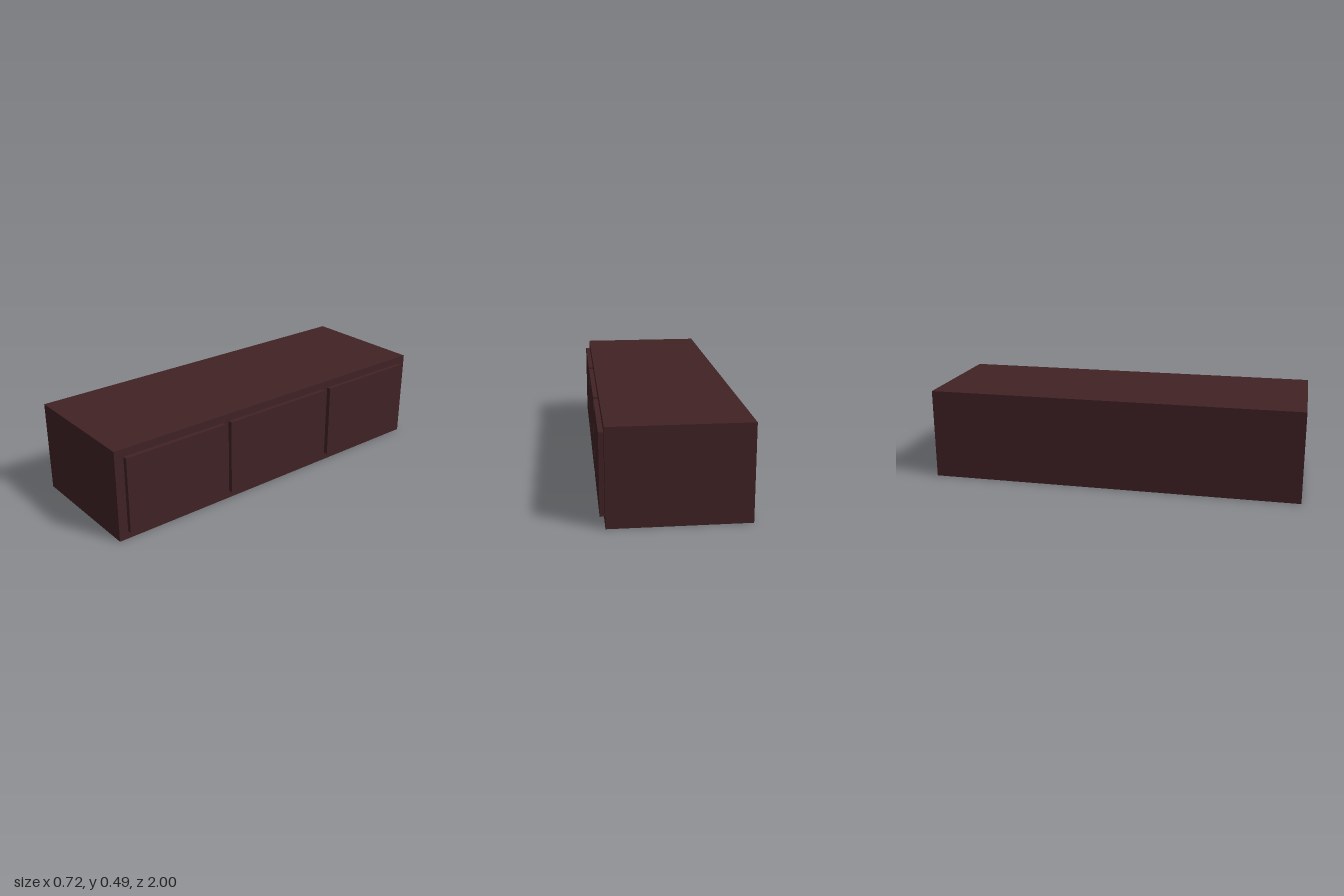
import * as THREE from 'three';

export function createModel() {
  const model = new THREE.Group();
  model.name = 'lowCabinet';

  const darkWood = new THREE.MeshStandardMaterial({ color: 0x402224 });
  darkWood.name = 'dark red-brown wood';

  // Box given by its minimum and maximum corners
  function addBox(name, min, max) {
    const size = max.map((v, i) => v - min[i]);
    const mesh = new THREE.Mesh(new THREE.BoxGeometry(...size), darkWood);
    mesh.position.set(...max.map((v, i) => (v + min[i]) / 2));
    mesh.name = name;
    model.add(mesh);
  }

  // Plain carcass
  const faceX = 0.334;
  addBox('cabinetBody', [-0.358, 0, -1], [faceX, 0.488, 1]);

  // Three raised drawer fronts along the +x side
  const drawers = [
    ['frontDrawer', 0.366, 0.951],
    ['middleDrawer', -0.329, 0.329],
    ['backDrawer', -0.951, -0.366],
  ];
  for (const [name, z0, z1] of drawers) {
    addBox(name, [faceX, 0.042, z0], [0.358, 0.448, z1]);
  }

  return model;
}
